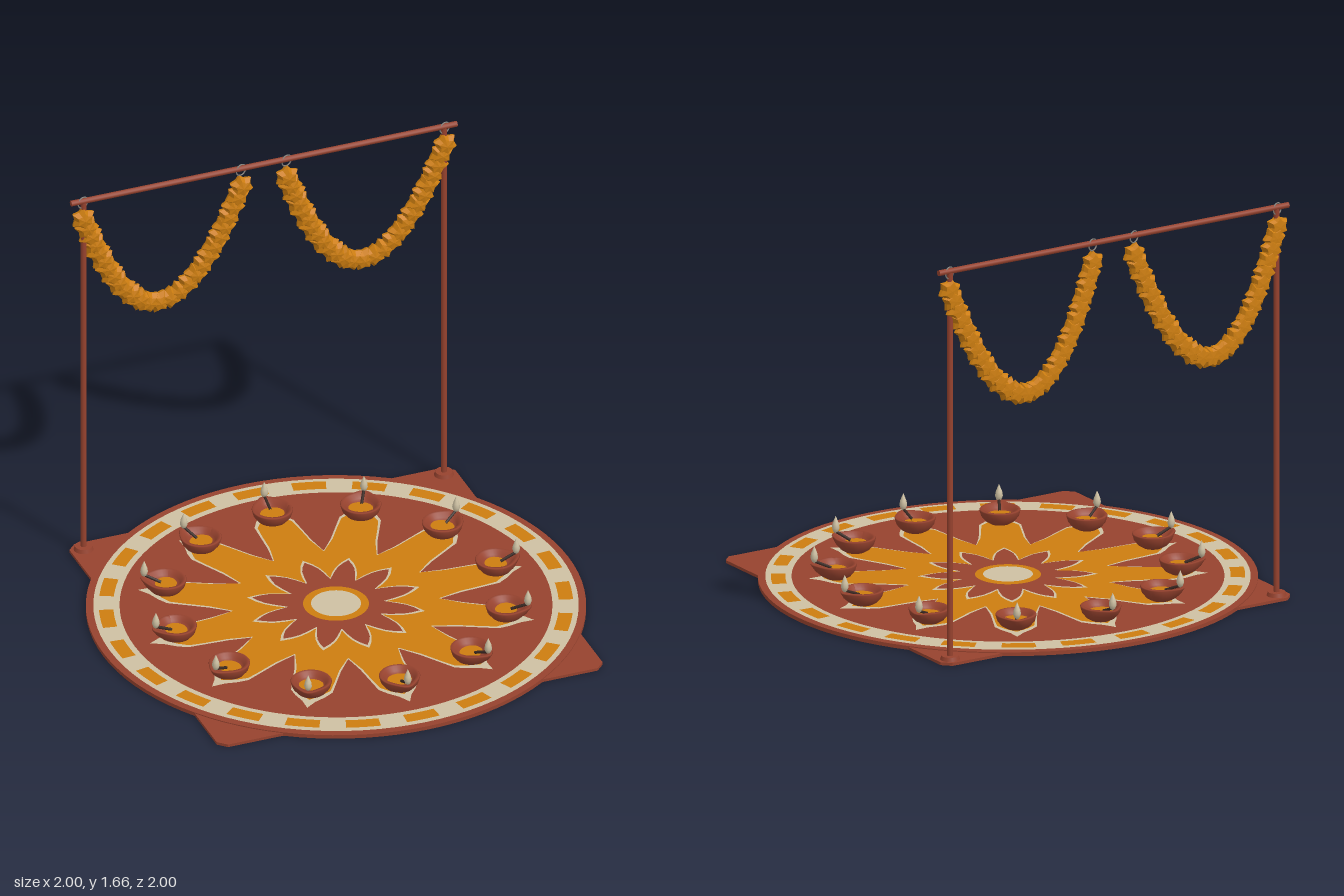
import * as THREE from 'three';

const mat = (name, color) => {
  const m = new THREE.MeshStandardMaterial({ color });
  m.name = name;
  return m;
};

export function createModel() {
  const root = new THREE.Group();
  root.name = 'festivalDisplay';
  const clay = mat('terracotta', 0x96422e);
  const orange = mat('marigold orange', 0xcc7d10);
  const cream = mat('cream', 0xcdc0a2);
  const dark = mat('burnt wick', 0x3a2a24);
  const metal = mat('hook metal', 0x85807a);

  const add = (parent, name, geo, material, x = 0, y = 0, z = 0) => {
    const mesh = new THREE.Mesh(geo, material);
    mesh.name = name;
    mesh.position.set(x, y, z);
    parent.add(mesh);
    return mesh;
  };
  const flat = (geo) => {
    const g = geo.toNonIndexed();
    g.computeVertexNormals();
    return g;
  };
  const V2 = (pts) => pts.map(([x, y]) => new THREE.Vector2(x, y));

  // Square plate with clipped corners under the round floor
  const h = 0.83, c = 0.035;
  const plate = new THREE.Shape(V2([
    [-h + c, -h], [h - c, -h], [h, -h + c], [h, h - c],
    [h - c, h], [-h + c, h], [-h, h - c], [-h, -h + c]]));
  const plateGeo = new THREE.ExtrudeGeometry(plate, { depth: 0.012, bevelEnabled: false });
  add(root, 'squarePlate', plateGeo.rotateX(-Math.PI / 2), clay);
  add(root, 'roundFloor', new THREE.CylinderGeometry(1, 1, 0.016, 96), clay, 0, 0.008);

  // Painted floor pattern, each layer slightly above the last
  const paint = (name, geo, material, y) => add(root, name, geo.rotateX(-Math.PI / 2), material, 0, y);
  paint('borderRing', new THREE.RingGeometry(0.865, 0.97, 96), cream, 0.0175);
  for (let i = 0; i < 24; i++) {
    const a = i * Math.PI / 12;
    paint('borderDash', new THREE.RingGeometry(0.89, 0.948, 6, 1, a - 0.074, 0.148), orange, 0.019);
  }

  // Twelve petals; each profile point is [distance from centre, half width]
  const petalStar = (profile) => {
    const pts = [];
    for (let i = 0; i < 12; i++) {
      const a = i * Math.PI / 6;
      const put = (r, w) => pts.push(new THREE.Vector2(
        r * Math.cos(a) - w * Math.sin(a), r * Math.sin(a) + w * Math.cos(a)));
      profile.forEach(([r, w]) => put(r, -w));
      [...profile].reverse().slice(1).forEach(([r, w]) => put(r, w));
    }
    return new THREE.ShapeGeometry(new THREE.Shape(pts));
  };
  paint('outerPetalEdge', petalStar(
    [[0.41, 0.108], [0.5, 0.094], [0.6, 0.088], [0.67, 0.084], [0.71, 0.06], [0.75, 0.026], [0.8, 0]]), cream, 0.0175);
  paint('outerPetals', petalStar(
    [[0.402, 0.106], [0.5, 0.086], [0.6, 0.08], [0.66, 0.074], [0.7, 0.045], [0.74, 0]]), orange, 0.019);
  paint('innerPetalEdge', petalStar(
    [[0.2, 0.052], [0.24, 0.05], [0.28, 0.042], [0.32, 0.026], [0.36, 0]]), cream, 0.0205);
  paint('innerPetals', petalStar(
    [[0.188, 0.049], [0.24, 0.042], [0.28, 0.034], [0.31, 0.02], [0.34, 0]]), clay, 0.022);
  paint('centreRing', new THREE.CircleGeometry(0.132, 48), orange, 0.0235);
  paint('centreDisc', new THREE.CircleGeometry(0.1, 48), cream, 0.025);

  // Oil lamp: turned bowl pulled out to a spout along +x
  const bowlGeo = new THREE.LatheGeometry(V2([
    [0, 0], [0.04, 0], [0.06, 0.012], [0.076, 0.032], [0.083, 0.056],
    [0.08, 0.06], [0.068, 0.06], [0.058, 0.042], [0.045, 0.03], [0, 0.028]]), 32);
  const p = bowlGeo.attributes.position;
  for (let i = 0; i < p.count; i++) {
    const r = Math.hypot(p.getX(i), p.getZ(i));
    if (r < 0.001) continue;
    const pull = 1 + 0.26 * (p.getY(i) / 0.06) * Math.max(0, p.getX(i) / r) ** 8;
    p.setX(i, p.getX(i) * pull);
  }
  bowlGeo.computeVertexNormals();
  const oilGeo = new THREE.CircleGeometry(0.05, 24).rotateX(-Math.PI / 2).scale(0.88, 1, 1);
  const flameGeo = new THREE.LatheGeometry(V2([
    [0, 0], [0.01, 0.008], [0.016, 0.024], [0.013, 0.042], [0.006, 0.06], [0, 0.074]]), 10);
  const wickGeo = new THREE.TubeGeometry(new THREE.LineCurve3(
    new THREE.Vector3(0.02, 0.042, 0), new THREE.Vector3(0.088, 0.07, 0)), 1, 0.006, 6);
  for (let i = 0; i < 12; i++) {
    const a = i * Math.PI / 6;
    const lamp = new THREE.Group();
    lamp.name = 'oilLamp';
    lamp.position.set(0.687 * Math.cos(a), 0.02, 0.687 * Math.sin(a));
    lamp.rotation.y = -a;
    root.add(lamp);
    add(lamp, 'bowl', bowlGeo, clay);
    add(lamp, 'oil', oilGeo, orange, 0, 0.038);
    add(lamp, 'wick', wickGeo, dark);
    add(lamp, 'flame', flameGeo, cream, 0.088, 0.061);
  }

  // Frame: two posts with feet, and a crossbar
  const zFrame = -0.78;
  for (const s of [-1, 1]) {
    add(root, 'post', new THREE.CylinderGeometry(0.012, 0.012, 1.62, 12), clay, s * 0.775, 0.825, zFrame);
    add(root, 'postFoot', new THREE.CylinderGeometry(0.035, 0.04, 0.016, 20), clay, s * 0.775, 0.02, zFrame);
  }
  const bar = add(root, 'crossbar', new THREE.CylinderGeometry(0.012, 0.012, 1.66, 12), clay, 0, 1.64, zFrame);
  bar.rotation.z = Math.PI / 2;

  // Garland flower: six-pointed, flat-faced, facing +z
  const flowerGeo0 = new THREE.LatheGeometry(V2([
    [0, -0.026], [0.034, -0.024], [0.047, -0.008], [0.05, 0.004], [0.032, 0.025], [0, 0.031]]), 12);
  const f = flowerGeo0.attributes.position;
  for (let i = 0; i < f.count; i++) {
    const step = Math.round(Math.atan2(f.getX(i), f.getZ(i)) / (Math.PI / 6));
    const k = step % 2 === 0 ? 1.06 : 0.76;
    f.setX(i, f.getX(i) * k);
    f.setZ(i, f.getZ(i) * k);
  }
  const flowerGeo = flat(flowerGeo0.rotateX(Math.PI / 2));

  // Two hanging garlands with hooks at their ends
  for (const s of [-1, 1]) {
    const garland = new THREE.Group();
    garland.name = 'garland';
    root.add(garland);
    const pts = [];
    for (let i = 0; i <= 16; i++) {
      const t = i / 8 - 1, sag = 1 - t * t;
      pts.push(new THREE.Vector3(s * 0.438 + t * 0.34, 1.56 - 0.48 * sag, -0.778 - 0.034 * sag));
    }
    const curve = new THREE.CatmullRomCurve3(pts);
    const count = 27;
    for (let i = 0; i < count; i++) {
      const q = curve.getPointAt(i / (count - 1));
      const flower = add(garland, 'flower', flowerGeo, orange, q.x, q.y, q.z);
      flower.rotation.z = i * 0.45;
    }
    for (const x of [0.098, 0.778]) {
      const hook = add(garland, 'hook', new THREE.TorusGeometry(0.024, 0.003, 6, 20), metal, s * x, 1.633, zFrame);
      hook.rotation.y = 0.3;
    }
  }
  return root;
}
